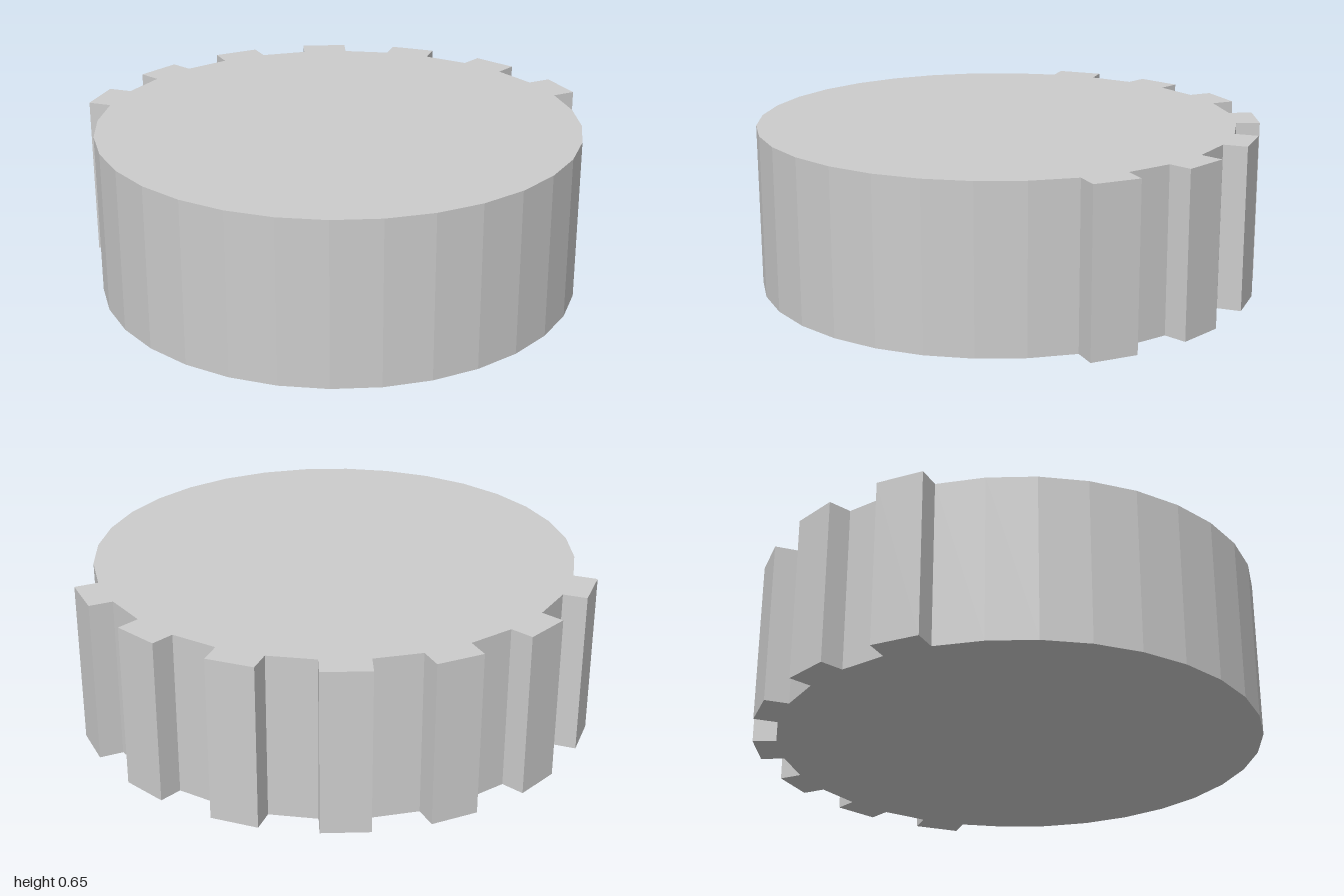
import * as THREE from 'three';

const SIDES = 32, TEETH = 7;
const RADIUS = 0.955, TOOTH_DEPTH = 0.094, HEIGHT = 0.65;
const CENTRE = new THREE.Vector2(-0.047, -0.047); // body centre, in (x, -z)
const STEP = (Math.PI * 2) / SIDES;
const START = THREE.MathUtils.degToRad(-7.3);

// Outline of the 32-sided drum; alternate facets on one part are pushed out as teeth
function gearOutline() {
  const points = [];
  const corner = (i) => {
    const a = START + i * STEP;
    return new THREE.Vector2(Math.cos(a), Math.sin(a)).multiplyScalar(RADIUS).add(CENTRE);
  };
  for (let i = 0; i < SIDES; i++) {
    points.push(corner(i));
    if (i % 2 === 0 && i < TEETH * 2) {
      const mid = START + (i + 0.5) * STEP;
      const out = new THREE.Vector2(Math.cos(mid), Math.sin(mid)).multiplyScalar(TOOTH_DEPTH);
      points.push(corner(i).add(out), corner(i + 1).add(out));
    }
  }
  return new THREE.Shape(points);
}

export function createModel() {
  const group = new THREE.Group();
  group.name = 'partialGear';

  // Toothed drum, extruded upward from the ground
  const geometry = new THREE.ExtrudeGeometry(gearOutline(), { depth: HEIGHT, bevelEnabled: false });
  geometry.rotateX(-Math.PI / 2);
  const material = new THREE.MeshStandardMaterial({ color: 0xcccccc, flatShading: true });
  const body = new THREE.Mesh(geometry, material);
  body.name = 'toothedDrum';
  group.add(body);

  return group;
}
